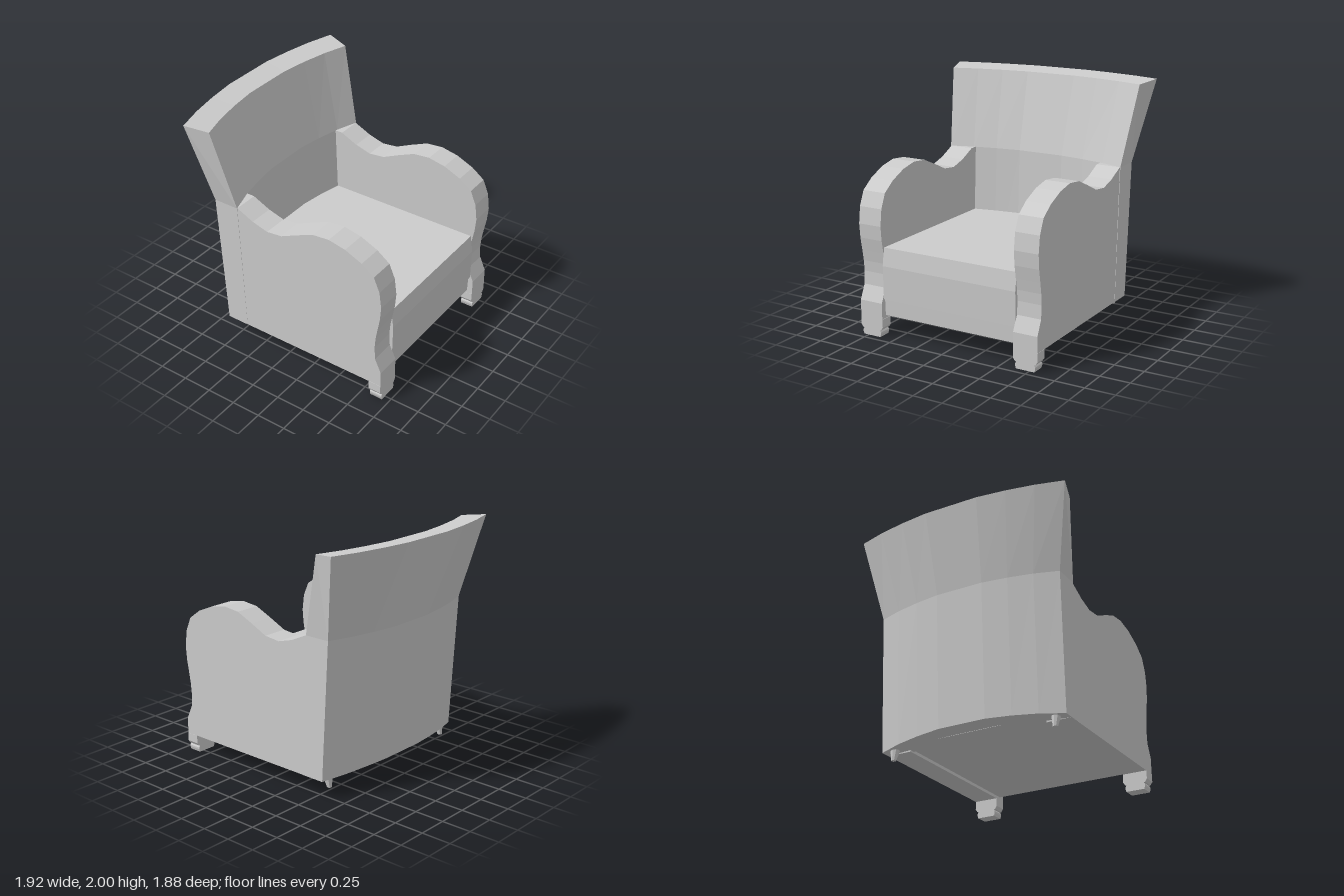
import * as THREE from 'three';

const material = new THREE.MeshStandardMaterial({ color: 0xcccccc, flatShading: true });

function addMesh(parent, geometry, name) {
  const mesh = new THREE.Mesh(geometry, material);
  mesh.name = name;
  parent.add(mesh);
  return mesh;
}

const shapeOf = (points) => new THREE.Shape(points.map(([a, b]) => new THREE.Vector2(a, b)));

// Extrudes a (z, y) side profile across x, from x0 to x1
function sideExtrude(points, x0, x1) {
  const g = new THREE.ExtrudeGeometry(shapeOf(points), { depth: x1 - x0, bevelEnabled: false });
  g.rotateY(-Math.PI / 2);
  g.translate(x1, 0, 0);
  return g;
}

// Flared, bowed backrest: one closed profile ring per column across x
function backGeometry() {
  // half width, y, z at the side, backward bow at the centre, lift at the centre
  const ring = [
    [0.822, 0.155, -0.39, 0.13, 0.025],
    [0.825, 1.31, -0.43, 0.14, 0],
    [0.9, 1.975, -0.6, 0.14, 0],
    [0.962, 2, -0.8, 0.14, 0],
    [0.825, 1.31, -0.65, 0.14, 0],
    [0.822, 0.155, -0.585, 0.135, 0.035],
  ];
  const columns = [[-1, 0], [-0.76, 0.46], [-0.51, 0.78], [-0.25, 1], [0.25, 1], [0.51, 0.78], [0.76, 0.46], [1, 0]];
  const n = ring.length;
  const positions = [];
  const index = [];
  for (const [u, bow] of columns) {
    for (const [w, y, z, depth, lift] of ring) positions.push(u * w, y + lift * bow, z - depth * bow);
  }
  const quad = (a, b, c, d) => index.push(a, b, c, a, c, d);
  for (let i = 0; i < columns.length - 1; i++) {
    for (let j = 0; j < n; j++) {
      const k = (j + 1) % n;
      quad(i * n + j, (i + 1) * n + j, (i + 1) * n + k, i * n + k);
    }
  }
  // Side faces, lower and upper
  const e = (columns.length - 1) * n;
  quad(0, 1, 4, 5);
  quad(1, 2, 3, 4);
  quad(e + 5, e + 4, e + 1, e);
  quad(e + 4, e + 3, e + 2, e + 1);
  const g = new THREE.BufferGeometry();
  g.setAttribute('position', new THREE.Float32BufferAttribute(positions, 3));
  g.setIndex(index);
  const flat = g.toNonIndexed();
  flat.computeVertexNormals();
  return flat;
}

export function createModel() {
  const chair = new THREE.Group();
  chair.name = 'armchair';

  addMesh(chair, backGeometry(), 'backrest');

  // Seat cushion and the slightly recessed rail below it
  addMesh(chair, sideExtrude([
    [-0.59, 0.32], [0.908, 0.32], [0.912, 0.6], [0.89, 0.75], [-0.59, 0.75],
  ], -0.612, 0.612), 'seatCushion');
  addMesh(chair, sideExtrude([
    [-0.57, 0.18], [0.89, 0.18], [0.895, 0.32], [-0.57, 0.32],
  ], -0.612, 0.612), 'seatRail');

  // Scrolled arm outline
  const armProfile = [
    [-0.5, 0.155], [0.94, 0.155], [0.94, 0.29], [0.885, 0.41], [0.878, 0.52], [0.885, 0.61],
    [0.9, 0.7], [0.92, 0.81], [0.93, 0.93], [0.912, 1.07], [0.86, 1.19], [0.75, 1.27],
    [0.6, 1.335], [0.45, 1.365], [0.3, 1.35], [0.15, 1.285], [0, 1.215], [-0.14, 1.2],
    [-0.28, 1.24], [-0.43, 1.31], [-0.53, 1.31],
  ];

  // Front foot outline with a small notch, centred on x = 0
  const footHalf = [[0.107, 0.155], [0.107, 0.085], [0.09, 0.06], [0.078, 0.055], [0.088, 0.04], [0.088, 0.025], [0.08, 0]];
  const footOutline = [...footHalf, ...footHalf.map(([x, y]) => [-x, y]).reverse()];

  for (const side of [1, -1]) {
    const label = side > 0 ? 'left' : 'right';
    const arm = sideExtrude(armProfile, -0.105, 0.105);
    addMesh(chair, arm, label + 'Arm').position.x = side * 0.715;

    const foot = new THREE.ExtrudeGeometry(shapeOf(footOutline), { depth: 0.11, bevelEnabled: false });
    addMesh(chair, foot, label + 'FrontFoot').position.set(side * 0.715, 0, 0.83);

    // Tapered back foot, sheared so its rear edge stays upright
    const peg = new THREE.CylinderGeometry(0.04, 0.02, 0.1, 8);
    const p = peg.attributes.position;
    for (let i = 0; i < p.count; i++) if (p.getY(i) < 0) p.setZ(i, p.getZ(i) - 0.02);
    peg.computeVertexNormals();
    addMesh(chair, peg, label + 'BackFoot').position.set(side * 0.72, 0.125, -0.55);
  }

  return chair;
}
